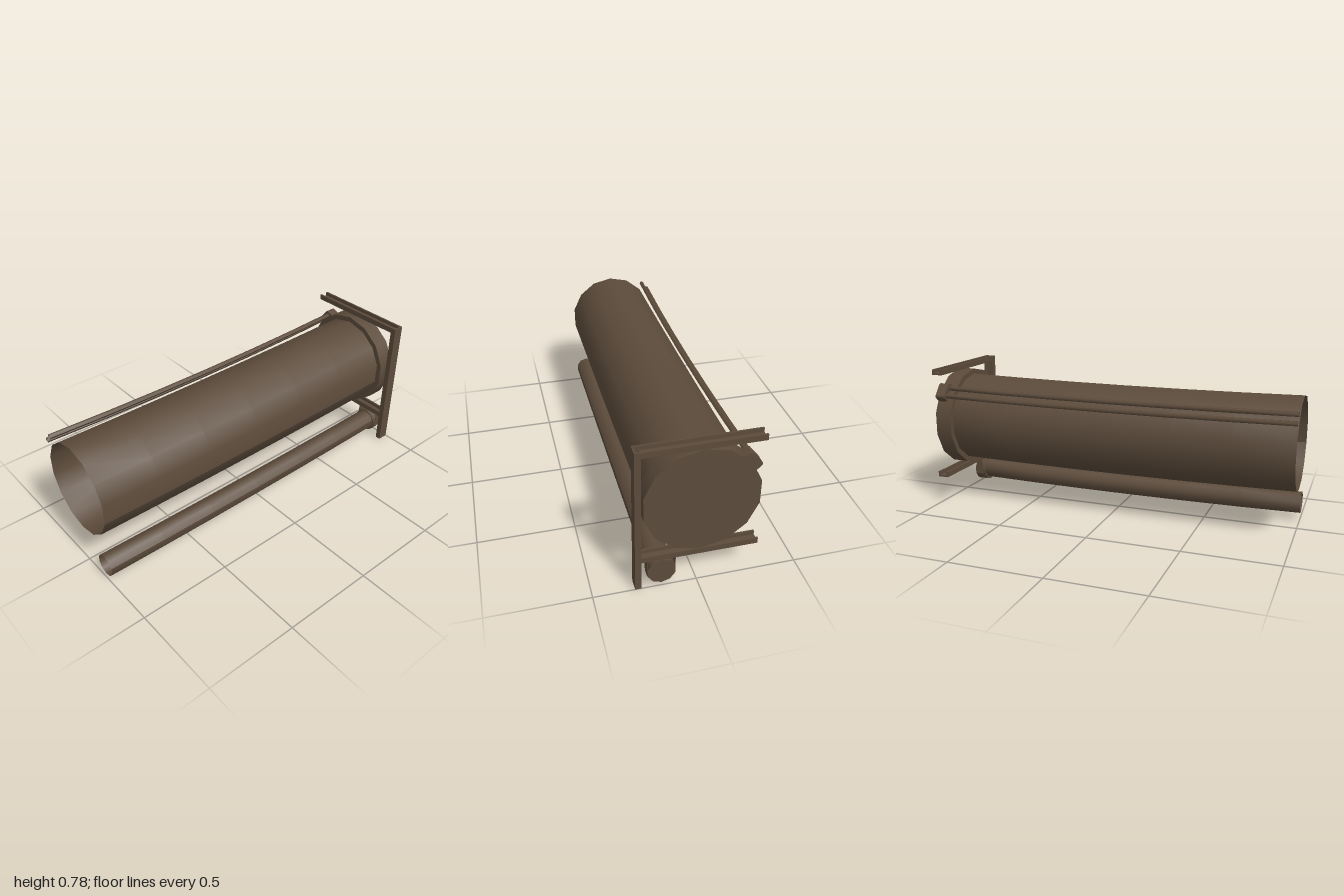
import * as THREE from 'three';

const bronze = new THREE.MeshStandardMaterial({ color: 0x5c4b3b });
bronze.name = 'dark bronze';
bronze.side = THREE.DoubleSide;

// Centre of each run in the y-z plane
const MAIN = { y: 0.47, z: -0.015 };
const LOWER = { y: 0.086, z: 0.17 };

function add(group, name, geometry) {
  const mesh = new THREE.Mesh(geometry, bronze);
  mesh.name = name;
  group.add(mesh);
  return mesh;
}

// Open pipe along x, sagging in the middle; the seam lies at angle `seam` from +z
function saggingPipe({ y, z, r, sides, seam, x1, dy, dz = 0, steps = 6 }) {
  const pos = [], index = [];
  for (let j = 0; j <= steps; j++) {
    const t = j / steps;
    const sag = 4 * t * (1 - t);
    for (let i = 0; i <= sides; i++) {
      const a = seam + (i / sides) * Math.PI * 2;
      pos.push(-1 + t * (x1 + 1), y + dy * sag + r * Math.sin(a), z + dz * sag + r * Math.cos(a));
    }
  }
  const row = sides + 1;
  for (let j = 0; j < steps; j++) {
    for (let i = 0; i < sides; i++) {
      const a = j * row + i, b = a + 1, c = a + row, d = c + 1;
      index.push(a, c, b, b, c, d);
    }
  }
  const g = new THREE.BufferGeometry();
  g.setAttribute('position', new THREE.Float32BufferAttribute(pos, 3));
  g.setIndex(index);
  g.computeVertexNormals();
  return g;
}

// Capped collar along x with a corner pointing up
function collar(c, r, sides, x0, x1) {
  const g = new THREE.CylinderGeometry(r, r, x1 - x0, sides);
  g.rotateZ(-Math.PI / 2);
  const p = g.attributes.position;
  let top = 0;
  for (let i = 0; i < p.count; i++) if (p.getY(i) > p.getY(top)) top = i;
  g.rotateX(Math.atan2(p.getZ(top), p.getY(top)) * -1);
  g.translate((x0 + x1) / 2, c.y, c.z);
  return g;
}

// Extrudes a [z, y] outline along x
function plateAlongX(points, x0, x1) {
  const shape = new THREE.Shape(points.map(([z, y]) => new THREE.Vector2(-z, y)));
  const g = new THREE.ExtrudeGeometry(shape, { depth: x1 - x0, bevelEnabled: false });
  g.rotateY(Math.PI / 2);
  g.translate(x0, 0, 0);
  return g;
}

// U-channel section, open towards +y, extruded along z
function channel(length) {
  const w = 0.03, h = 0.03, t = 0.01;
  const section = [[-w, 0], [w, 0], [w, h], [w - t, h], [w - t, t], [-w + t, t], [-w + t, h], [-w, h]];
  const shape = new THREE.Shape(section.map(([x, y]) => new THREE.Vector2(x, y)));
  return new THREE.ExtrudeGeometry(shape, { depth: length, bevelEnabled: false });
}

export function createModel() {
  const model = new THREE.Group();
  model.name = 'pipeRack';

  // Large pipe and its end flange
  add(model, 'mainPipe', saggingPipe({
    ...MAIN, r: 0.25, sides: 14, seam: -Math.PI / 14, x1: 0.91, dy: -0.01,
  }));
  add(model, 'mainFlange', collar(MAIN, 0.28, 14, 0.905, 0.998));

  // Small pipe and its end collar
  add(model, 'lowerPipe', saggingPipe({
    ...LOWER, y: 0.09, r: 0.061, sides: 10, seam: Math.PI / 10, x1: 0.94, dy: -0.01,
  }));
  add(model, 'lowerCollar', collar(LOWER, 0.07, 10, 0.932, 0.998));

  // Bracket: two shelf channels and an upright post
  for (const [name, y] of [['upperBar', 0.752], ['lowerBar', 0.16]]) {
    add(model, name, channel(0.565).translate(0.97, y, -0.297));
  }
  add(model, 'post', channel(0.782).rotateX(-Math.PI / 2).translate(0.97, 0, 0.298));

  // Thin strap hanging the small pipe from the lower bar
  const arc = (r) => {
    const pts = [];
    for (let i = 0; i <= 5; i++) {
      const a = Math.PI * (-0.9 + i * 0.2);
      pts.push([LOWER.z + r * Math.cos(a), LOWER.y + r * Math.sin(a)]);
    }
    return [[pts[0][0], 0.16], ...pts, [pts[5][0], 0.16]];
  };
  add(model, 'pipeStrap', plateAlongX([...arc(0.0725), ...arc(0.0702).reverse()], 0.95, 0.99));

  // Pair of cables behind the large pipe, with their end clamp
  for (const [name, y, z] of [['upperCable', 0.667, -0.225], ['lowerCable', 0.628, -0.258]]) {
    add(model, name, saggingPipe({
      y, z, r: 0.013, sides: 6, seam: 0, x1: 0.95, dy: -0.012, dz: 0.012,
    }));
  }
  add(model, 'cableClamp', plateAlongX([
    [-0.19, 0.678], [-0.225, 0.693], [-0.237, 0.69], [-0.283, 0.632],
    [-0.283, 0.622], [-0.257, 0.595], [-0.2, 0.63],
  ], 0.94, 0.997));

  return model;
}
